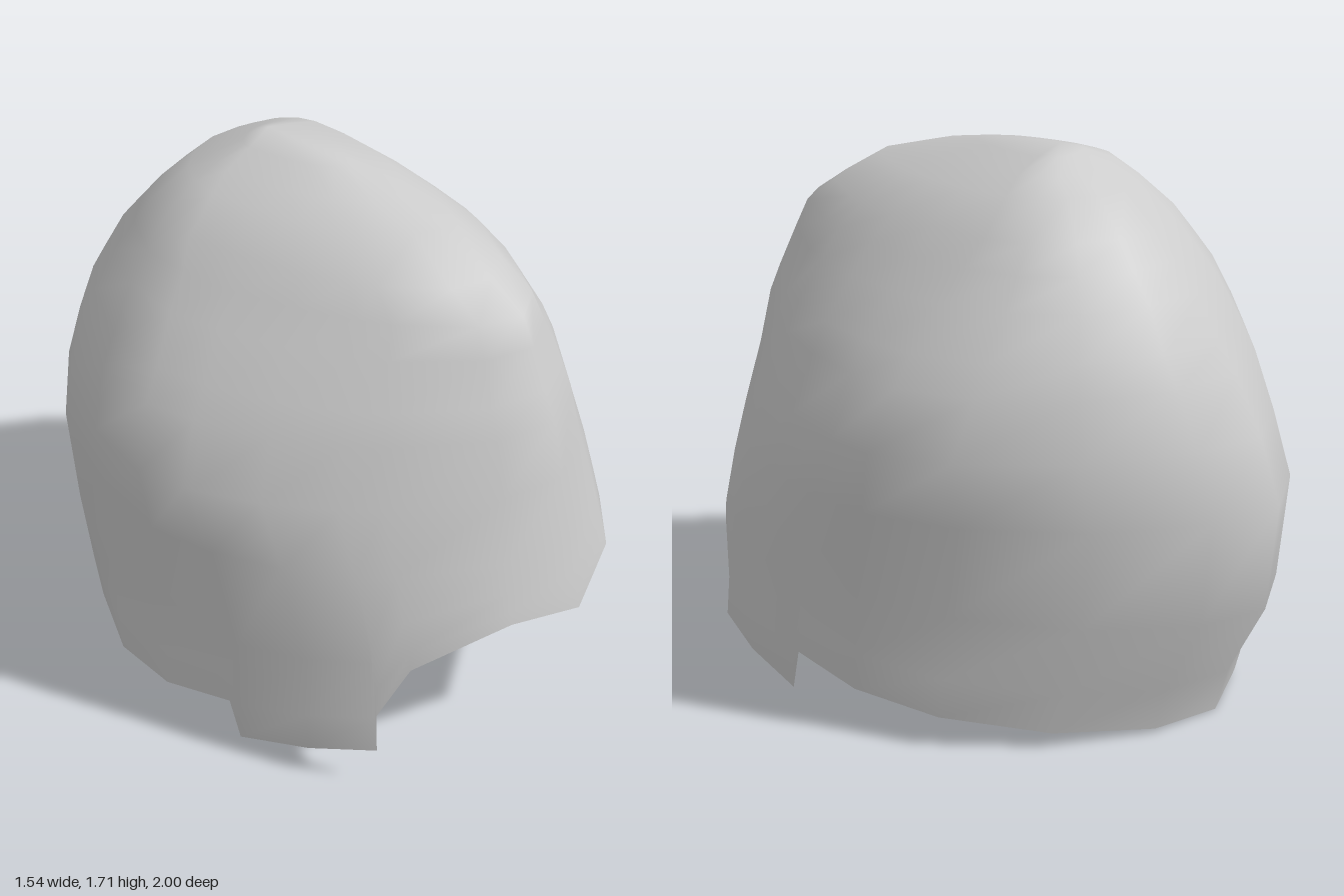
import * as THREE from 'three';

// Horizontal sections: height, half width, z of widest point, front z, back z,
// roundness of the front and back curves (2 is an ellipse, less is more pointed)
const SECTIONS = [
  [0.00, 0.755, 0.00, 1.06, -0.81, 2.0, 1.65],
  [0.15, 0.765, 0.00, 1.05, -0.85, 2.0, 1.65],
  [0.39, 0.75, 0.00, 1.01, -0.97, 2.0, 1.6],
  [0.49, 0.75, -0.01, 1.00, -0.98, 2.0, 1.6],
  [0.73, 0.76, -0.04, 0.95, -1.00, 1.8, 1.6],
  [0.93, 0.77, -0.07, 0.91, -0.93, 1.6, 1.55],
  [1.11, 0.68, -0.11, 0.87, -0.84, 1.65, 1.7],
  [1.20, 0.62, -0.12, 0.83, -0.78, 1.7, 1.8],
  [1.33, 0.52, -0.15, 0.78, -0.70, 1.7, 1.9],
  [1.42, 0.44, -0.17, 0.74, -0.62, 1.75, 2.0],
  [1.50, 0.375, -0.20, 0.62, -0.55, 1.9, 2.0],
  [1.60, 0.265, -0.20, 0.45, -0.44, 1.9, 2.0],
  [1.65, 0.205, -0.20, 0.27, -0.35, 2.0, 2.0],
  [1.685, 0.10, -0.20, 0.09, -0.27, 2.0, 2.0],
];
const TOP = 1.685;
const APEX = [0, 1.71, -0.21];

// Lower edge: angle from the front in degrees, height (brow, cheek tab, side notch)
const RIM = [[0, 0.485], [20, 0.54], [42, 0.43], [49, 0.26], [49.3, 0.13],
  [62, 0.095], [75, 0.055], [76.7, 0.19], [90, 0.147]];
// The back edge slopes down evenly to the nape
for (let a = 112.5; a <= 180; a += 22.5) {
  RIM.push([a, 0.147 * (1 - Math.abs(Math.cos(a * Math.PI / 180)) ** 1.21)]);
}

function sectionAt(y) {
  let i = 0;
  while (i < SECTIONS.length - 2 && SECTIONS[i + 1][0] < y) i++;
  const a = SECTIONS[i], b = SECTIONS[i + 1];
  const t = (y - a[0]) / (b[0] - a[0]);
  return a.map((v, k) => v + (b[k] - v) * t);
}

// Point on the shell: a superellipse quadrant in front and another behind
function shellPoint(degrees, height) {
  const y = THREE.MathUtils.clamp(height, 0, TOP);
  const [, w, mid, front, back, nFront, nBack] = sectionAt(y);
  const s = Math.sin(degrees * Math.PI / 180), c = Math.cos(degrees * Math.PI / 180);
  const p = 2 / (c < 0 ? nBack : nFront);
  const x = Math.sign(s) * w * Math.abs(s) ** p;
  const z = mid + ((c < 0 ? back : front) - mid) * Math.abs(c) ** p;
  return new THREE.Vector3(x, y, z);
}

// Smooth outward direction, independent of how narrow the columns are
function shellNormal(angle, y) {
  const around = shellPoint(angle + 8, y).sub(shellPoint(angle - 8, y));
  const up = shellPoint(angle, y + 0.08).sub(shellPoint(angle, y - 0.08));
  return around.cross(up).normalize();
}

function shellGeometry() {
  // Columns run once around, mirrored left to right
  const columns = [...RIM, ...RIM.slice(1, -1).reverse().map(([a, y]) => [-a, y])];
  const n = columns.length;
  // Rows fan from the uneven lower edge to a level line, then stay level
  const base = 0.73;
  const upper = SECTIONS.map((s) => s[0]).filter((y) => y > base);
  const rows = [
    ...[0, 0.2, 0.53, 1].map((t) => (rim) => rim + (base - rim) * t),
    ...upper.map((y) => () => y),
  ];

  const positions = [], normals = [], index = [];
  rows.forEach((height) => columns.forEach(([angle, rim]) => {
    positions.push(...shellPoint(angle, height(rim)));
    normals.push(...shellNormal(angle, height(rim)));
  }));
  positions.push(...APEX);
  normals.push(0, 1, 0);

  const apex = rows.length * n;
  for (let r = 0; r < rows.length; r++) {
    for (let i = 0; i < n; i++) {
      const a = r * n + i, b = r * n + (i + 1) % n;
      if (r === rows.length - 1) index.push(a, b, apex);
      else index.push(a, b, b + n, a, b + n, a + n);
    }
  }
  const geometry = new THREE.BufferGeometry();
  geometry.setAttribute('position', new THREE.Float32BufferAttribute(positions, 3));
  geometry.setAttribute('normal', new THREE.Float32BufferAttribute(normals, 3));
  geometry.setIndex(index);
  return geometry;
}

export function createModel() {
  const group = new THREE.Group();
  group.name = 'helmet';
  // Thin open shell, seen from inside as well
  const material = new THREE.MeshStandardMaterial({ color: 0xcccccc, side: THREE.DoubleSide });
  const shell = new THREE.Mesh(shellGeometry(), material);
  shell.name = 'helmetShell';
  group.add(shell);
  return group;
}
